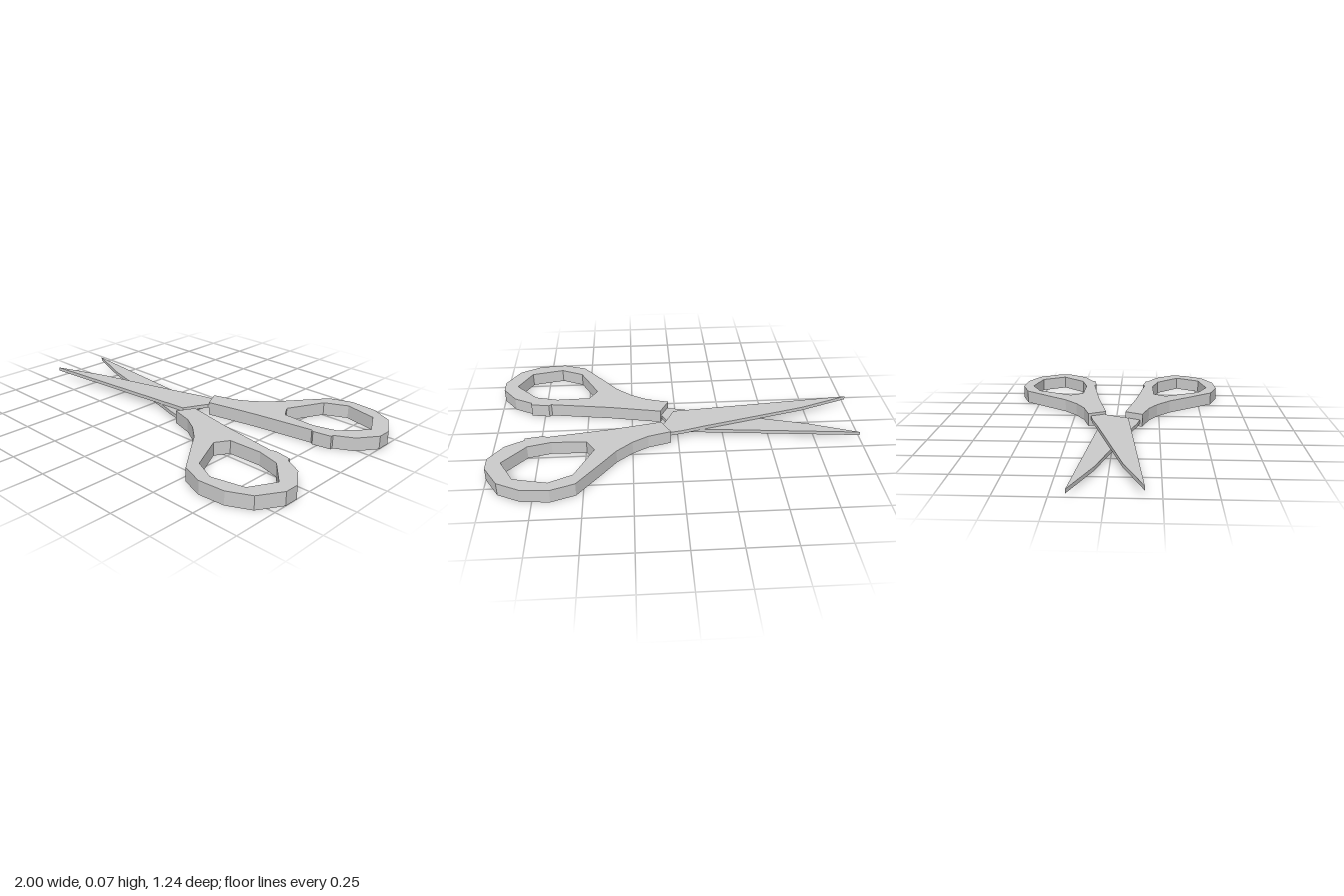
import * as THREE from 'three';

// Handle outline (clockwise) and finger hole (anticlockwise) as [x, distance from the centre line]
const HANDLE = [
  [0.04, 0.153], [0.165, 0.19], [0.25, 0.24], [0.335, 0.315], [0.41, 0.415], [0.535, 0.577],
  [0.66, 0.622], [0.805, 0.61], [0.925, 0.55], [1, 0.425], [1, 0.345], [0.925, 0.24],
  [0.825, 0.186], [0.825, 0.17], [0.725, 0.153], [0.71, 0.164], [0.37, 0.112], [0.09, 0.056],
];
const HOLE = [
  [0.495, 0.221], [0.68, 0.215], [0.805, 0.248], [0.925, 0.381],
  [0.85, 0.52], [0.672, 0.56], [0.55, 0.502], [0.45, 0.295],
];
// Blade outline: straight spine on one side, tapered cutting edge on the other
const BLADE = [
  [-1, -0.172], [-0.72, -0.067], [-0.14, 0.09], [-0.025, 0.125], [0.05, 0.14],
  [0.14, 0.16], [0.14, 0.08], [0.08, 0.06], [0.05, 0], [0.015, -0.075],
];

const material = new THREE.MeshStandardMaterial({ color: 0xcccccc, flatShading: true });

// Flat plate lying between heights y0 and y1; side flips it across the centre line
function plate(name, outline, hole, side, y0, y1) {
  const points = (list) => list.map(([x, d]) => new THREE.Vector2(x, d * side));
  const shape = new THREE.Shape(points(outline));
  if (hole) shape.holes.push(new THREE.Path(points(hole)));
  const geometry = new THREE.ExtrudeGeometry(shape, { depth: y1 - y0, bevelEnabled: false });
  geometry.rotateX(-Math.PI / 2).translate(0, y0, 0);
  const mesh = new THREE.Mesh(geometry, material);
  mesh.name = name;
  return mesh;
}

export function createModel() {
  const scissors = new THREE.Group();
  scissors.name = 'scissors';

  // Each half is a handle with a blade crossing to the other side
  for (const [name, side, y0] of [['backHalf', 1, 0.038], ['frontHalf', -1, 0.018]]) {
    const half = new THREE.Group();
    half.name = name;
    half.add(plate('handle', HANDLE, HOLE, side, 0, 0.073));
    half.add(plate('blade', BLADE, null, side, y0, y0 + 0.02));
    scissors.add(half);
  }
  return scissors;
}
